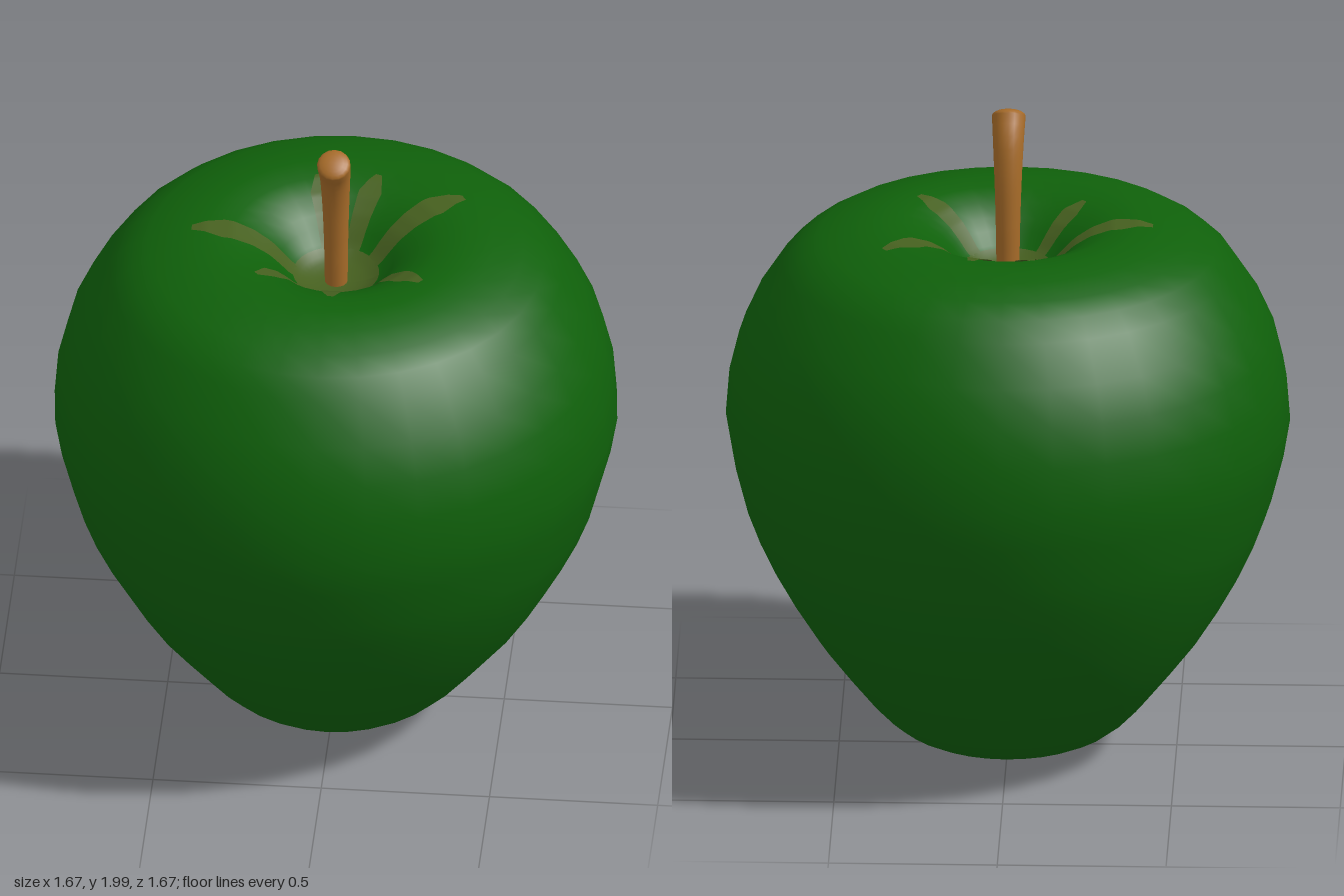
import * as THREE from 'three';
import { mergeGeometries } from 'three/addons/utils/BufferGeometryUtils.js';

// Outline of the fruit as [radius, height], from the base up to the shoulder
const BODY = [
  [0, 0], [0.08, 0.005], [0.2, 0.03], [0.28, 0.056], [0.32, 0.076], [0.36, 0.107], [0.415, 0.165],
  [0.495, 0.265], [0.567, 0.36], [0.636, 0.47], [0.694, 0.575], [0.743, 0.68], [0.78, 0.78],
  [0.816, 0.92], [0.836, 1.04], [0.825, 1.18], [0.796, 1.3], [0.747, 1.41], [0.672, 1.525],
  [0.618, 1.577], [0.557, 1.614],
];
// The outline continued over the rim and into the dimple
const RIM = [
  [0.47, 1.64], [0.39, 1.655], [0.31, 1.648], [0.25, 1.625], [0.2, 1.592], [0.17, 1.562],
  [0.14, 1.528], [0.11, 1.504], [0.07, 1.488], [0.03, 1.482], [0, 1.48],
];

// Height of the dimple surface at a given radius
function dimpleHeight(r) {
  for (let i = 1; i < RIM.length; i++) {
    const [r0, y0] = RIM[i - 1], [r1, y1] = RIM[i];
    if (r >= r1) return THREE.MathUtils.lerp(y1, y0, (r - r1) / (r0 - r1));
  }
  return RIM.at(-1)[1];
}

// Lays a geometry onto the dimple; place(x, y) gives its position as [x, z]
function drape(geometry, place) {
  const p = geometry.attributes.position;
  for (let i = 0; i < p.count; i++) {
    const [x, z] = place(p.getX(i), p.getY(i));
    p.setXYZ(i, x, dimpleHeight(Math.hypot(x, z)) + 0.004, z);
  }
  geometry.computeVertexNormals();
  return geometry;
}

// One streak running outward to (tx, tz), broadening and then narrowing to a blunt tip
function streak([tx, tz]) {
  const length = Math.hypot(tx, tz), dx = tx / length, dz = tz / length;
  return drape(new THREE.PlaneGeometry(1, 1, 24, 2), (u, v) => {
    const t = u + 0.5;
    const r = THREE.MathUtils.lerp(0.11, length, t);
    const width = 0.21 * length * (t < 0.7 ? 0.6 + 0.57 * t : 1 - 2.4 * (t - 0.7));
    return [dx * r - dz * v * width, dz * r + dx * v * width];
  });
}

// Curved stem, thicker toward its cut end
function stemGeometry() {
  const path = new THREE.CatmullRomCurve3([
    [1.45, -0.01], [1.55, -0.006], [1.65, -0.002], [1.8, 0.012], [1.9, 0.037], [1.963, 0.074],
  ].map(([y, z]) => new THREE.Vector3(0, y, z)));
  const rings = 16, sides = 16;
  const tube = new THREE.TubeGeometry(path, rings, 1, sides);
  const p = tube.attributes.position, v = new THREE.Vector3();
  for (let i = 0; i < p.count; i++) {
    const u = Math.floor(i / (sides + 1)) / rings;
    const centre = path.getPointAt(u);
    v.fromBufferAttribute(p, i).sub(centre).multiplyScalar(0.034 + 0.016 * u * u).add(centre);
    p.setXYZ(i, v.x, v.y, v.z);
  }
  // Domed end
  const cap = new THREE.SphereGeometry(0.05, sides, 5, 0, Math.PI * 2, 0, Math.PI / 2);
  cap.scale(1, 0.4, 1);
  cap.applyQuaternion(new THREE.Quaternion().setFromUnitVectors(
    new THREE.Vector3(0, 1, 0), path.getTangentAt(1)));
  const end = path.getPointAt(1);
  cap.translate(end.x, end.y, end.z);
  return mergeGeometries([tube, cap]);
}

export function createModel() {
  const group = new THREE.Group();
  const add = (name, geometry, color, side = THREE.FrontSide) => {
    const mesh = new THREE.Mesh(geometry, new THREE.MeshStandardMaterial({ color, side }));
    mesh.name = name;
    group.add(mesh);
  };

  // Fruit body
  add('fruitBody', new THREE.LatheGeometry(
    [...BODY, ...RIM].map(([r, y]) => new THREE.Vector2(r, y)), 32), 0x0f600a);

  // Russet patch around the stem with seven streaks
  const tips = [[-0.43, -0.01], [-0.08, -0.31], [0.1, -0.32], [0.36, -0.23],
    [0.27, 0.21], [0.01, 0.3], [-0.22, 0.2]];
  const disc = drape(new THREE.RingGeometry(0.001, 0.128, 32, 6), (x, y) => [x, -y]);
  add('russetPatch', mergeGeometries([disc, ...tips.map(streak)]), 0x46601f, THREE.DoubleSide);

  // Stem
  add('stem', stemGeometry(), 0xa56a28);
  return group;
}
